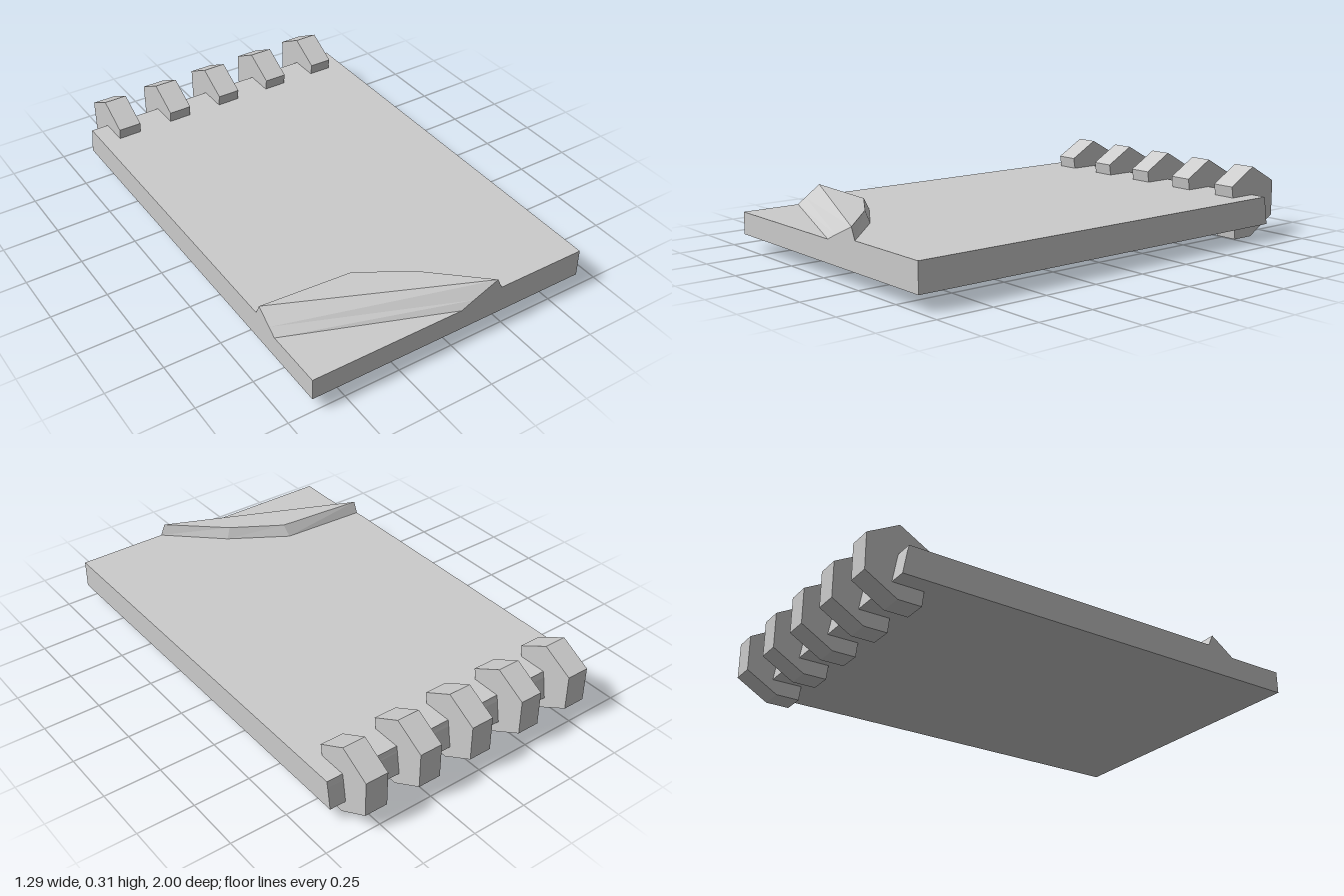
import * as THREE from 'three';

const material = new THREE.MeshStandardMaterial({ color: 0xcccccc, flatShading: true });

// Prism between two outlines of [x, z] points, counter-clockwise seen from above
function loft(lower, y0, upper, y1, capBottom = false) {
  const n = lower.length;
  const b = lower.map(([x, z]) => [x, y0, z]);
  const t = upper.map(([x, z]) => [x, y1, z]);
  const pos = [];
  const tri = (...corners) => corners.forEach((c) => pos.push(...c));
  for (let i = 0; i < n; i++) {
    const j = (i + 1) % n;
    tri(b[i], b[j], t[j]);
    tri(b[i], t[j], t[i]);
    if (i > 0 && i < n - 1) {
      tri(t[0], t[i], t[j]);
      if (capBottom) tri(b[0], b[j], b[i]);
    }
  }
  const geometry = new THREE.BufferGeometry();
  geometry.setAttribute('position', new THREE.Float32BufferAttribute(pos, 3));
  geometry.computeVertexNormals();
  return geometry;
}

export function createModel() {
  const group = new THREE.Group();
  const add = (name, geometry) => {
    const mesh = new THREE.Mesh(geometry, material);
    mesh.name = name;
    group.add(mesh);
    return mesh;
  };
  const L = -0.645, R = 0.643;

  // Full stack of pages, its back edge leaning slightly
  add('pageStack', loft(
    [[L, -0.887], [L, 1], [R, 1], [R, -0.882]], 0.068,
    [[L, -0.87], [L, 1], [R, 1], [R, -0.867]], 0.165, true));

  // Upper pages, missing the front corner that is folded over
  add('upperPages', loft(
    [[L, -0.87], [L, 0.737], [0.04, 1], [R, 1], [R, -0.867]], 0.165,
    [[L, -0.864], [L, 0.7], [0.098, 1], [R, 1], [R, -0.862]], 0.192));

  // Folded corner lying on the top page
  add('foldedCorner', loft(
    [[L, 0.605], [L, 0.7], [0.098, 1], [0.235, 1], [0, 0.78], [-0.25, 0.623]], 0.192,
    [[L, 0.628], [L, 0.628], [0.213, 1], [0.213, 1], [-0.02, 0.79], [-0.24, 0.655]], 0.242));

  // Row of faceted binding rings along the back edge
  const profile = new THREE.Shape([
    [0.727, 0.242], [0.735, 0.192], [0.757, 0.003], [0.86, 0.003],
    [1, 0.085], [1, 0.242], [0.862, 0.318],
  ].map(([x, y]) => new THREE.Vector2(x, y)));
  const width = 0.103;
  const ring = new THREE.ExtrudeGeometry(profile, { depth: width, bevelEnabled: false });
  ring.translate(0, 0, -width / 2).rotateY(Math.PI / 2);
  for (let i = 0; i < 5; i++) {
    add('bindingRing' + (i + 1), ring).position.x = 0.002 + (i - 2) * 0.2585;
  }
  return group;
}
